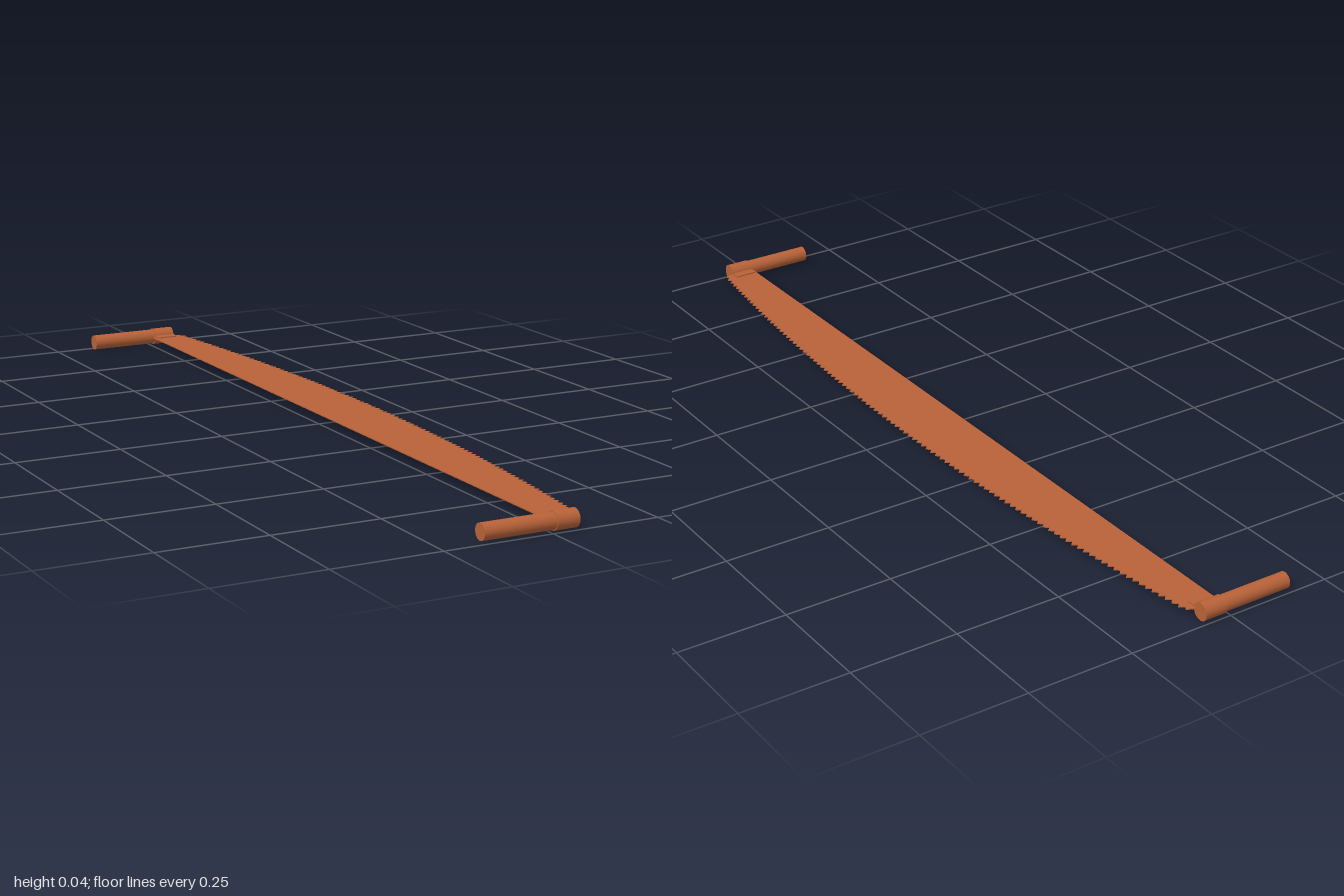
import * as THREE from 'three';

const AXIS_Y = 0.0205;   // height of the blade and handle axes
const END_Z = 0.9795;    // handle axis distance from the middle

export function createModel() {
  const model = new THREE.Group();
  const material = new THREE.MeshStandardMaterial({ color: 0xb86238 });

  const add = (name, geometry, x, y, z) => {
    const mesh = new THREE.Mesh(geometry, material);
    mesh.name = name;
    mesh.position.set(x, y, z);
    model.add(mesh);
    return mesh;
  };

  // Blade: straight back, bowed cutting edge with triangular teeth
  const teeth = 102, half = 0.95, thickness = 0.0025;
  const root = z => 0.146 - 0.068 * (z / half) ** 2;
  const outline = new THREE.Shape();
  outline.moveTo(0.005, -0.968);
  outline.lineTo(0.06, -0.968);
  outline.lineTo(0.083, -0.957);
  const pitch = 2 * half / teeth;
  for (let i = 0; i < teeth; i++) {
    const z = -half + i * pitch;
    outline.lineTo(root(z), z);
    outline.lineTo(root(z + pitch / 2) + 0.0105, z + pitch / 2);
  }
  outline.lineTo(root(half), half);
  outline.lineTo(0.083, 0.957);
  outline.lineTo(0.06, 0.968);
  outline.lineTo(0.005, 0.968);
  outline.closePath();
  const bladeGeometry = new THREE.ExtrudeGeometry(outline, { depth: thickness, bevelEnabled: false });
  bladeGeometry.rotateX(Math.PI / 2);
  add('blade', bladeGeometry, 0, AXIS_Y + thickness / 2, 0);

  for (const side of [1, -1]) {
    const end = side > 0 ? 'front' : 'back';

    // Round wooden grip
    const grip = new THREE.CylinderGeometry(0.0185, 0.0185, 0.22, 32);
    grip.rotateZ(Math.PI / 2);
    add(end + 'Handle', grip, -0.047, AXIS_Y, side * END_Z);

    // Socket: sleeve around the grip with a flat clamp onto the blade
    const r = 0.0205, a = 0.24;
    const profile = new THREE.Shape();
    for (let i = 0; i <= 32; i++) {
      const t = -Math.PI + a + (2 * Math.PI - 2 * a) * i / 32;
      const u = side * r * Math.cos(t), v = r * Math.sin(t);
      if (i === 0) profile.moveTo(u, v); else profile.lineTo(u, v);
    }
    profile.lineTo(-side * 0.04, 0.0042);
    profile.lineTo(-side * 0.04, -0.0042);
    profile.closePath();
    const socket = new THREE.ExtrudeGeometry(profile, { depth: 0.053, bevelEnabled: false });
    socket.rotateY(-Math.PI / 2);
    add(end + 'Socket', socket, 0.0635, AXIS_Y, side * END_Z);
  }
  return model;
}
